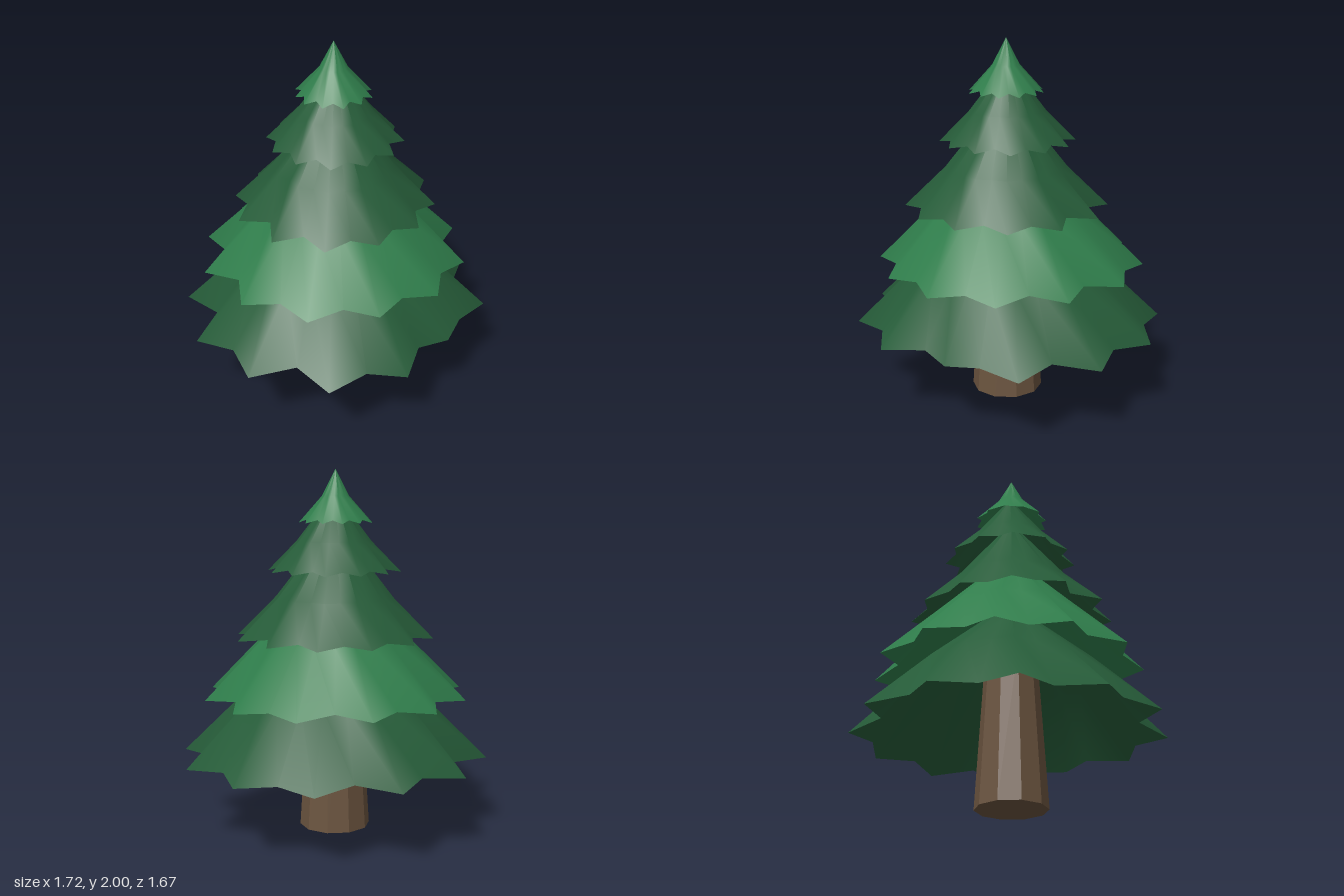
import * as THREE from 'three';

const POINTS = 24; // 12 branch tips alternating with 12 notches

// Open skirt of foliage: apex, a slightly starred waist, and a jagged rim.
function foliageTier({ name, color, apex, waist, rim, turn, center }) {
  const positions = [], index = [];
  const average = rim.reduce((a, b) => a + b) / rim.length;
  const addRing = (radiusAt, yAt) => {
    for (let i = 0; i < POINTS; i++) {
      const a = (i / POINTS) * Math.PI * 2 + turn;
      const r = radiusAt(i);
      positions.push(center[0] + r * Math.sin(a), yAt(i), center[1] - r * Math.cos(a));
    }
  };
  addRing(() => 0, () => apex);
  addRing(i => waist.r * (0.6 + 0.4 * rim[i % rim.length] / average), () => waist.y);
  addRing(i => rim[i % rim.length], i => waist.rimY + (i % 2) * 0.018);

  for (let ring = 0; ring < 2; ring++) {
    for (let i = 0; i < POINTS; i++) {
      const j = (i + 1) % POINTS;
      const up = ring * POINTS, low = up + POINTS;
      if (ring > 0) index.push(low + i, up + i, up + j);
      else index.push(low + i, up + i, low + j);
      if (ring > 0) index.push(low + i, up + j, low + j);
    }
  }
  const geometry = new THREE.BufferGeometry();
  geometry.setAttribute('position', new THREE.Float32BufferAttribute(positions, 3));
  geometry.setIndex(index);
  geometry.computeVertexNormals();
  const mesh = new THREE.Mesh(geometry, new THREE.MeshStandardMaterial({ color, side: THREE.DoubleSide }));
  mesh.name = name;
  return mesh;
}

export function createModel() {
  const tree = new THREE.Group();
  tree.name = 'pineTree';
  const dark = 0x265c39, light = 0x2f7d4b;

  // Tapered ten-sided trunk, running up inside the lowest tier
  const trunk = new THREE.Mesh(
    new THREE.CylinderGeometry(0.145, 0.197, 0.85, 10),
    new THREE.MeshStandardMaterial({ color: 0x6b543f, flatShading: true })
  );
  trunk.name = 'trunk';
  trunk.position.set(-0.01, 0.425, 0.022);
  tree.add(trunk);

  // Foliage from bottom to top; rim radii start at the back and run towards +x
  const tiers = [
    { name: 'bottomFoliage', color: dark, apex: 1.2, waist: { r: 0.47, y: 0.77, rimY: 0.41 }, turn: 0, center: [0, 0.02],
      rim: [0.86, 0.7, 0.86, 0.77, 0.855, 0.74, 0.86, 0.706, 0.855, 0.73, 0.73, 0.66,
        0.81, 0.73, 0.85, 0.69, 0.855, 0.75, 0.86, 0.69, 0.86, 0.707, 0.857, 0.73] },
    { name: 'lowerFoliage', color: light, apex: 1.5, waist: { r: 0.4, y: 1.08, rimY: 0.755 }, turn: 0.15, center: [-0.005, 0.015],
      rim: [0.74, 0.61, 0.75, 0.67, 0.74, 0.61, 0.73, 0.61, 0.73, 0.64, 0.72, 0.63,
        0.71, 0.63, 0.73, 0.64, 0.74, 0.62, 0.75, 0.61, 0.74, 0.62, 0.74, 0.635] },
    { name: 'middleFoliage', color: dark, apex: 1.72, waist: { r: 0.32, y: 1.3, rimY: 1.08 }, turn: 0.05, center: [-0.01, 0.025],
      rim: [0.54, 0.48, 0.56, 0.46, 0.56, 0.44, 0.56, 0.48, 0.55, 0.46, 0.54, 0.47] },
    { name: 'upperFoliage', color: dark, apex: 1.88, waist: { r: 0.2, y: 1.61, rimY: 1.445 }, turn: 0.02, center: [-0.005, 0.02],
      rim: [0.365, 0.32, 0.37, 0.3, 0.365, 0.31] },
    { name: 'topFoliage', color: light, apex: 2, waist: { r: 0.073, y: 1.855, rimY: 1.71 }, turn: 0.24, center: [-0.015, 0.023],
      rim: [0.21, 0.175, 0.205, 0.17] },
  ];
  for (const tier of tiers) tree.add(foliageTier(tier));
  return tree;
}
